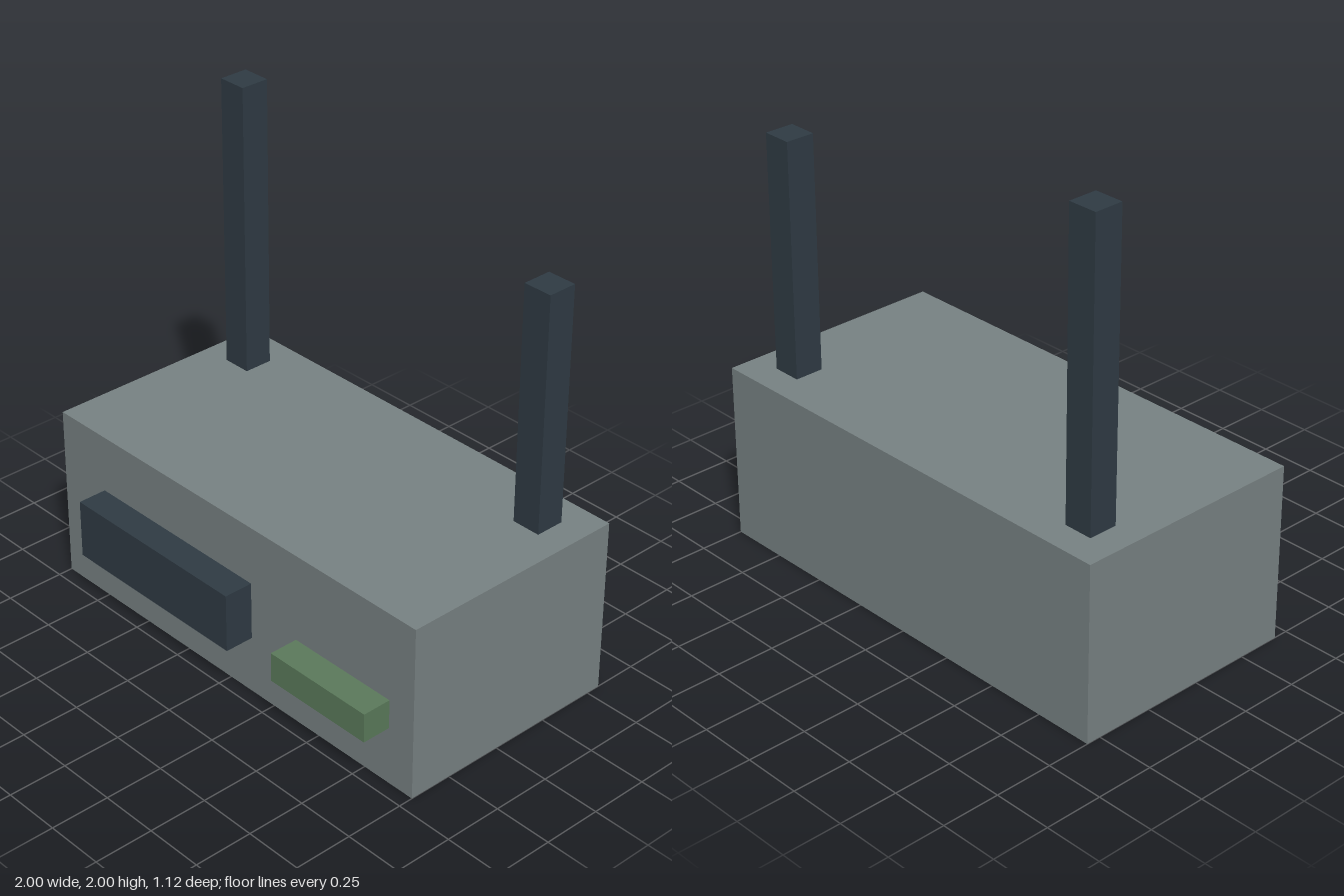
import * as THREE from 'three';

// Axis-aligned block given by its minimum and maximum corners
function block(name, color, min, max) {
  const size = max.map((v, i) => v - min[i]);
  const mesh = new THREE.Mesh(
    new THREE.BoxGeometry(...size),
    new THREE.MeshStandardMaterial({ color, flatShading: true })
  );
  mesh.position.set(...max.map((v, i) => (v + min[i]) / 2));
  mesh.name = name;
  return mesh;
}

export function createModel() {
  const group = new THREE.Group();
  group.name = 'radioBox';
  const grey = 0x788283, dark = 0x2f3b44, green = 0x5b7a5b;
  const back = -0.5625, face = 0.4375, front = 0.5625, top = 0.75;

  // Main housing
  group.add(block('housing', grey, [-1, 0, back], [1, top, face]));

  // Raised parts on the front face
  group.add(block('displayPanel', dark, [-0.75, 0.25, face], [0.125, 0.5, front]));
  group.add(block('indicatorLight', green, [0.375, 0.25, face], [0.875, 0.375, front]));

  // Two antennas of different heights near the back corners
  for (const [name, x, height] of [['rightAntenna', -0.8125, 2], ['leftAntenna', 0.8125, 1.75]]) {
    group.add(block(name, dark, [x - 0.0625, top, -0.4375], [x + 0.0625, height, -0.3125]));
  }
  return group;
}
